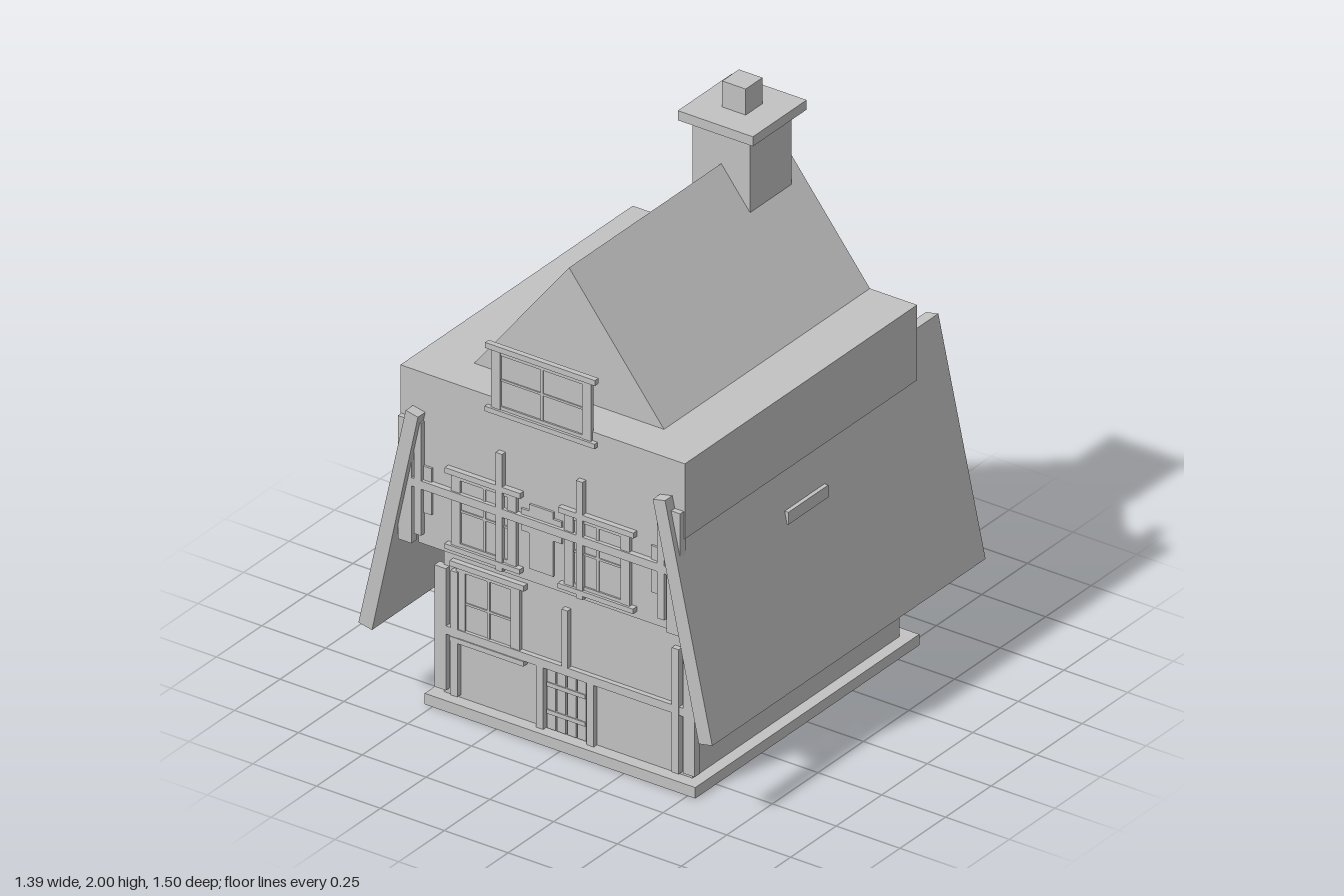
import * as THREE from 'three';

export function createModel() {
  const house = new THREE.Group();
  house.name = 'house';
  const grey = new THREE.MeshStandardMaterial({ color: 0xc2c2c2 });
  grey.name = 'plain grey';

  const add = (name, geometry, parent = house) => {
    const mesh = new THREE.Mesh(geometry, grey);
    mesh.name = name;
    parent.add(mesh);
    return mesh;
  };
  // Box given by its limits on each axis
  const box = (name, x0, x1, y0, y1, z0, z1, parent) => {
    const g = new THREE.BoxGeometry(x1 - x0, y1 - y0, z1 - z0);
    g.translate((x0 + x1) / 2, (y0 + y1) / 2, (z0 + z1) / 2);
    return add(name, g, parent);
  };
  const mirrored = (name, x0, x1, ...rest) => {
    box(name + 'Left', x0, x1, ...rest);
    box(name + 'Right', -x1, -x0, ...rest);
  };
  // Front outline pushed along z
  const prism = (name, points, z0, z1) => {
    const shape = new THREE.Shape(points.map(p => new THREE.Vector2(...p)));
    const g = new THREE.ExtrudeGeometry(shape, { depth: z1 - z0, bevelEnabled: false });
    g.translate(0, 0, z0);
    return add(name, g);
  };

  // Main volumes
  box('basePlinth', -0.53, 0.53, 0, 0.04, -0.615, 0.615);
  box('groundFloor', -0.487, 0.487, 0.04, 1.0, -0.565, 0.57);
  box('overhangingFloor', -0.487, 0.487, 0.65, 1.0, 0.57, 0.71);
  box('upperStorey', -0.557, 0.557, 1.0, 1.275, -0.565, 0.71);
  prism('atticRoof', [[-0.372, 1.275], [0.372, 1.275], [0, 1.745]], -0.565, 0.565);

  // Leaning side roofs with a small vent on each
  const slab = [[0.46, 1.133], [0.64, 0.297], [0.693, 0.307], [0.508, 1.143]];
  prism('sideRoofLeft', slab, -0.75, 0.75);
  prism('sideRoofRight', slab.map(([x, y]) => [-x, y]).reverse(), -0.75, 0.75);
  mirrored('roofVent', 0.565, 0.584, 0.82, 0.865, -0.04, 0.18);

  // Chimney
  box('chimneyStack', -0.113, 0.113, 1.6, 1.87, -0.497, -0.27);
  box('chimneyCap', -0.147, 0.147, 1.87, 1.905, -0.533, -0.238);
  box('chimneyPot', -0.046, 0.046, 1.905, 2, -0.432, -0.34);

  // Framed window with lintel, sill and crossed glazing bars
  const makeWindow = (name, cx, w, y0, y1, z) => {
    const g = new THREE.Group();
    g.name = name;
    house.add(g);
    const a = cx - w / 2, b = cx + w / 2, e = 0.02, s = 0.035;
    const my = (y0 + y1) / 2;
    box('pane', a + e, b - e, y0 + 0.01, y1 - 0.01, z, z + 0.006, g);
    box('lintel', a, b, y1 - 0.02, y1, z, z + 0.02, g);
    box('sill', a, b, y0, y0 + 0.018, z, z + 0.022, g);
    box('jamb', a + e, a + e + s, y0 + 0.018, y1 - 0.02, z, z + 0.014, g);
    box('jamb', b - e - s, b - e, y0 + 0.018, y1 - 0.02, z, z + 0.014, g);
    box('rail', a + e + s, b - e - s, y0 + 0.018, y0 + 0.03, z, z + 0.012, g);
    box('rail', a + e + s, b - e - s, y1 - 0.035, y1 - 0.02, z, z + 0.012, g);
    box('mullion', cx - 0.005, cx + 0.005, y0 + 0.03, y1 - 0.035, z, z + 0.01, g);
    box('glazingBar', a + e + s, b - e - s, my - 0.004, my + 0.004, z, z + 0.01, g);
  };
  makeWindow('atticWindow', 0, 0.43, 1.225, 1.475, 0.705);
  makeWindow('upperWindowLeft', 0.222, 0.295, 0.675, 0.97, 0.71);
  makeWindow('upperWindowRight', -0.222, 0.295, 0.675, 0.97, 0.71);
  makeWindow('groundWindow', -0.305, 0.29, 0.247, 0.54, 0.57);

  // Upper timber frame
  mirrored('upperCornerPost', 0.5, 0.553, 0.65, 1.1, 0.7, 0.73);
  mirrored('upperInnerPost', 0.462, 0.49, 0.69, 1.1, 0.71, 0.73);
  mirrored('upperPost', 0.145, 0.17, 0.66, 1.09, 0.71, 0.73);
  box('upperBeam', -0.5, 0.5, 0.86, 0.89, 0.71, 0.73);
  box('centreBrace', -0.047, 0.047, 0.7, 0.935, 0.71, 0.718);
  mirrored('braceStep', 0.047, 0.08, 0.83, 0.91, 0.71, 0.718);
  mirrored('outerBrace', 0.43, 0.465, 0.77, 0.94, 0.71, 0.718);

  // Lower timber frame
  mirrored('groundCornerPost', 0.465, 0.51, 0.06, 0.505, 0.56, 0.59);
  mirrored('groundPost', 0.42, 0.447, 0.05, 0.505, 0.57, 0.59);
  box('groundCentrePost', -0.012, 0.012, 0.295, 0.505, 0.57, 0.59);
  box('groundBeam', -0.47, 0.47, 0.265, 0.295, 0.57, 0.588);

  // Plank door
  mirrored('doorPost', 0.085, 0.113, 0.04, 0.265, 0.57, 0.588);
  for (let i = 0; i < 4; i++) {
    const x = -0.077 + i * 0.04;
    box('doorPlank', x, x + 0.034, 0.045, 0.26, 0.57, 0.579);
  }
  for (const y of [0.1, 0.2]) box('doorBatten', -0.075, 0.075, y, y + 0.015, 0.57, 0.583);

  return house;
}
